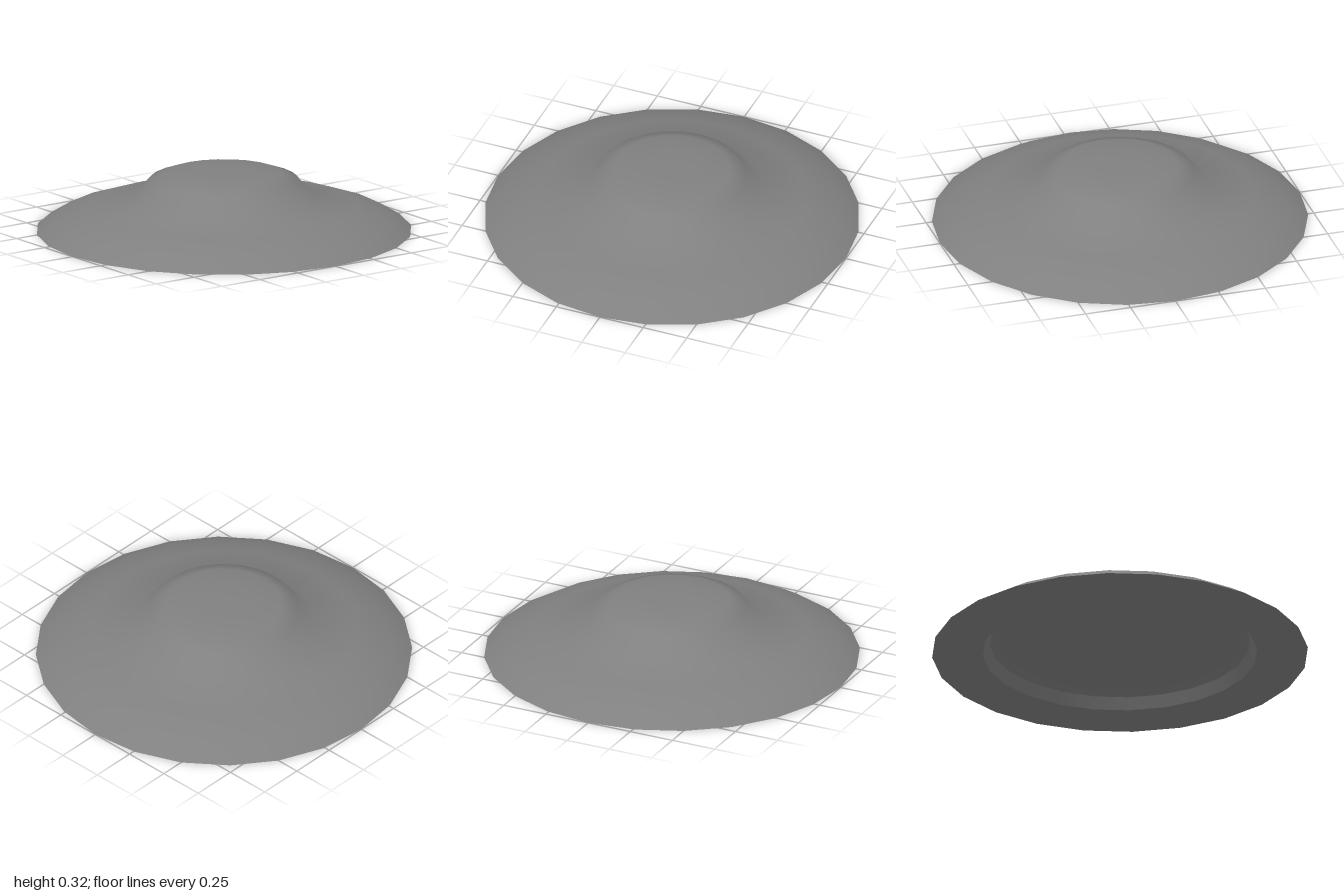
import * as THREE from 'three';

const SIDES = 24;

// Revolves a profile, listed counter-clockwise from the bottom axis to the top axis
function turned(name, profile, material) {
  const points = profile.map(([r, y]) => new THREE.Vector2(r, y));
  const mesh = new THREE.Mesh(new THREE.LatheGeometry(points, SIDES), material);
  mesh.name = name;
  return mesh;
}

export function createModel() {
  const group = new THREE.Group();
  group.name = 'domedDisc';
  const grey = new THREE.MeshStandardMaterial({ color: 0x808080, side: THREE.DoubleSide });

  group.add(
    // Shallow boss hanging in the recess, surrounded by a groove
    turned('undersideBoss', [[0, 0.025], [0.39, 0.025], [0.56, 0.037], [0.63, 0.095], [0.695, 0.06]], grey),
    // Sloping wall of the recess
    turned('recessWall', [[0.695, 0.06], [0.73, 0]], grey),
    // Flat ring the disc stands on
    turned('baseRing', [[0.73, 0], [1, 0]], grey),
    // Smooth upper shell: curved brim, steep shoulder, nearly flat crown
    turned('upperShell', [
      [1, 0], [0.89, 0.068], [0.72, 0.125], [0.49, 0.168],
      [0.395, 0.28], [0.31, 0.311], [0.15, 0.322], [0, 0.322],
    ], grey),
  );
  return group;
}
